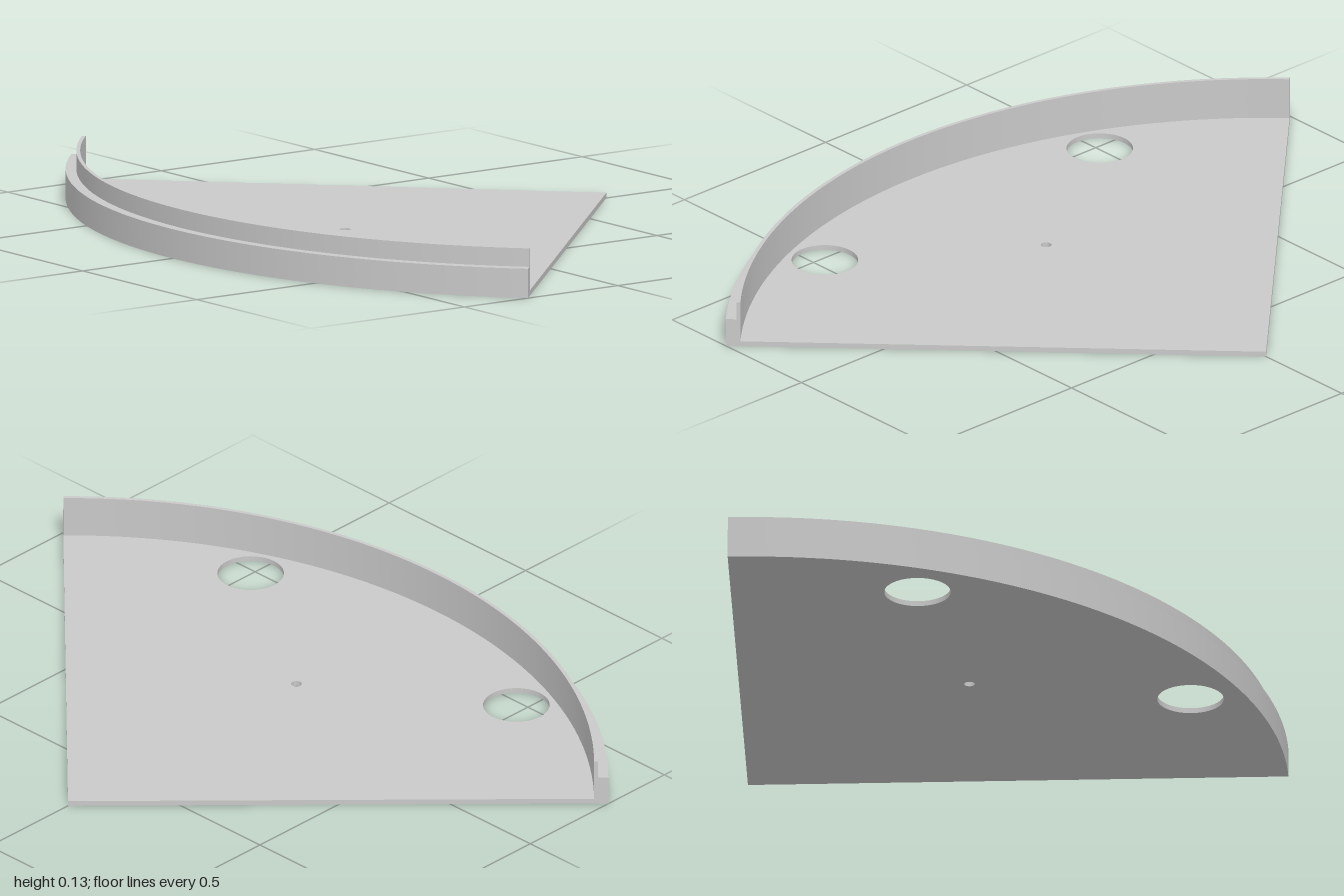
import * as THREE from 'three';
import { toCreasedNormals } from 'three/addons/utils/BufferGeometryUtils.js';

const APEX = Math.SQRT1_2;        // x of the sector's corner
const RADIUS = Math.SQRT2;        // outer radius of the quarter circle
const FLOOR = 0.0141;             // plate thickness
const START = Math.PI * 0.75, END = Math.PI * 1.25;

// Extrude a plan shape upward from y0 to y1
function slab(name, shape, y0, y1, material) {
  const flat = new THREE.ExtrudeGeometry(shape, { depth: y1 - y0, bevelEnabled: false, curveSegments: 64 });
  flat.rotateX(-Math.PI / 2).translate(0, y0, 0);
  const mesh = new THREE.Mesh(toCreasedNormals(flat, 0.5), material);
  mesh.name = name;
  return mesh;
}

// Quarter ring between two radii about the apex
function band(inner, outer) {
  const s = new THREE.Shape();
  s.absarc(APEX, 0, outer, START, END, false);
  s.absarc(APEX, 0, inner, END, START, true);
  s.closePath();
  return s;
}

function hole(x, y, r) {
  const p = new THREE.Path();
  p.absarc(x, y, r, 0, Math.PI * 2, true);
  return p;
}

export function createModel() {
  const group = new THREE.Group();
  group.name = 'quarterRoundCover';
  const grey = new THREE.MeshStandardMaterial({ color: 0xc9c9c9 });
  grey.name = 'grey';

  // Sector plate with two large holes and a small centre hole
  const sector = new THREE.Shape();
  sector.absarc(APEX, 0, RADIUS, START, END, false);
  sector.lineTo(APEX, 0);
  sector.closePath();
  for (const side of [-1, 1]) sector.holes.push(hole(-0.47, side * 0.487, 0.087));
  sector.holes.push(hole(-0.145, 0, 0.014));
  group.add(slab('basePlate', sector, 0, FLOOR, grey));

  // Stepped rim: wide wall with a thin lip along its inner edge
  group.add(slab('rimWall', band(1.376, RADIUS), FLOOR, 0.078, grey));
  group.add(slab('rimLip', band(1.376, 1.386), 0.078, 0.127, grey));
  return group;
}
